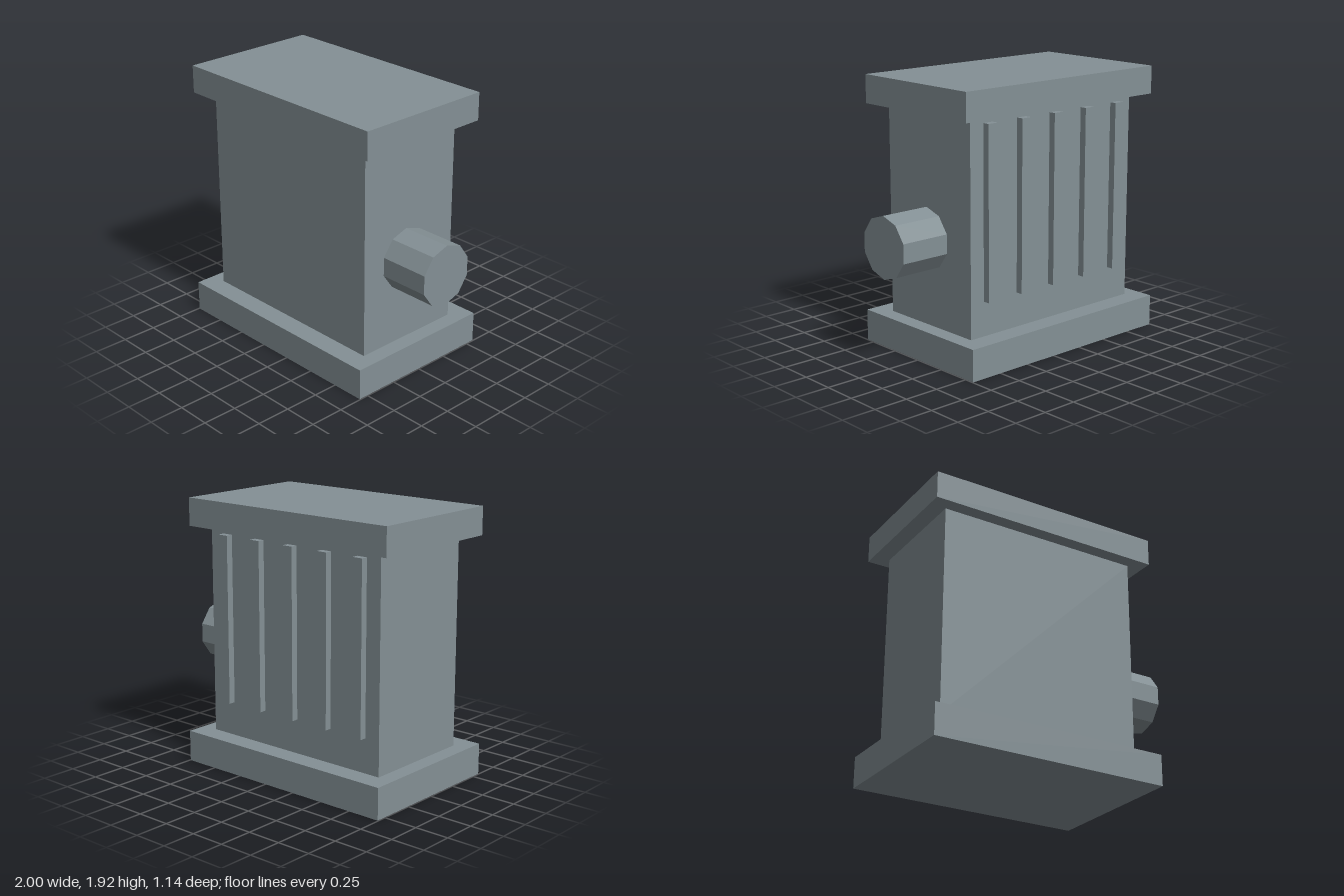
import * as THREE from 'three';

export function createModel() {
  const model = new THREE.Group();
  const grey = new THREE.MeshStandardMaterial({ color: 0x849095, flatShading: true });
  grey.name = 'slate grey';

  const add = (name, geometry, x, y, z) => {
    const mesh = new THREE.Mesh(geometry, grey);
    mesh.name = name;
    mesh.position.set(x, y, z);
    model.add(mesh);
    return mesh;
  };
  const midX = -0.125;

  // Cabinet between a wide plinth and an overhanging cap
  add('base', new THREE.BoxGeometry(1.74, 0.225, 1.14), midX, 0.1125, 0);
  add('body', new THREE.BoxGeometry(1.51, 1.495, 0.84), midX, 0.9725, 0);
  add('cap', new THREE.BoxGeometry(1.75, 0.2, 1.04), midX, 1.82, 0);

  // Ten-sided pipe stub on the side, one corner pointing up
  const pipe = new THREE.CylinderGeometry(0.22, 0.22, 0.37, 10);
  pipe.rotateY(Math.PI / 2).rotateZ(-Math.PI / 2);
  add('sidePipe', pipe, 0.815, 0.84, 0.03);

  // Vertical cooling ribs on the back
  const rib = new THREE.BoxGeometry(0.08, 1.21, 0.05);
  for (let i = -2; i <= 2; i++) {
    add('backRib', rib, midX + i * 0.3, 1.075, -0.445);
  }
  return model;
}
